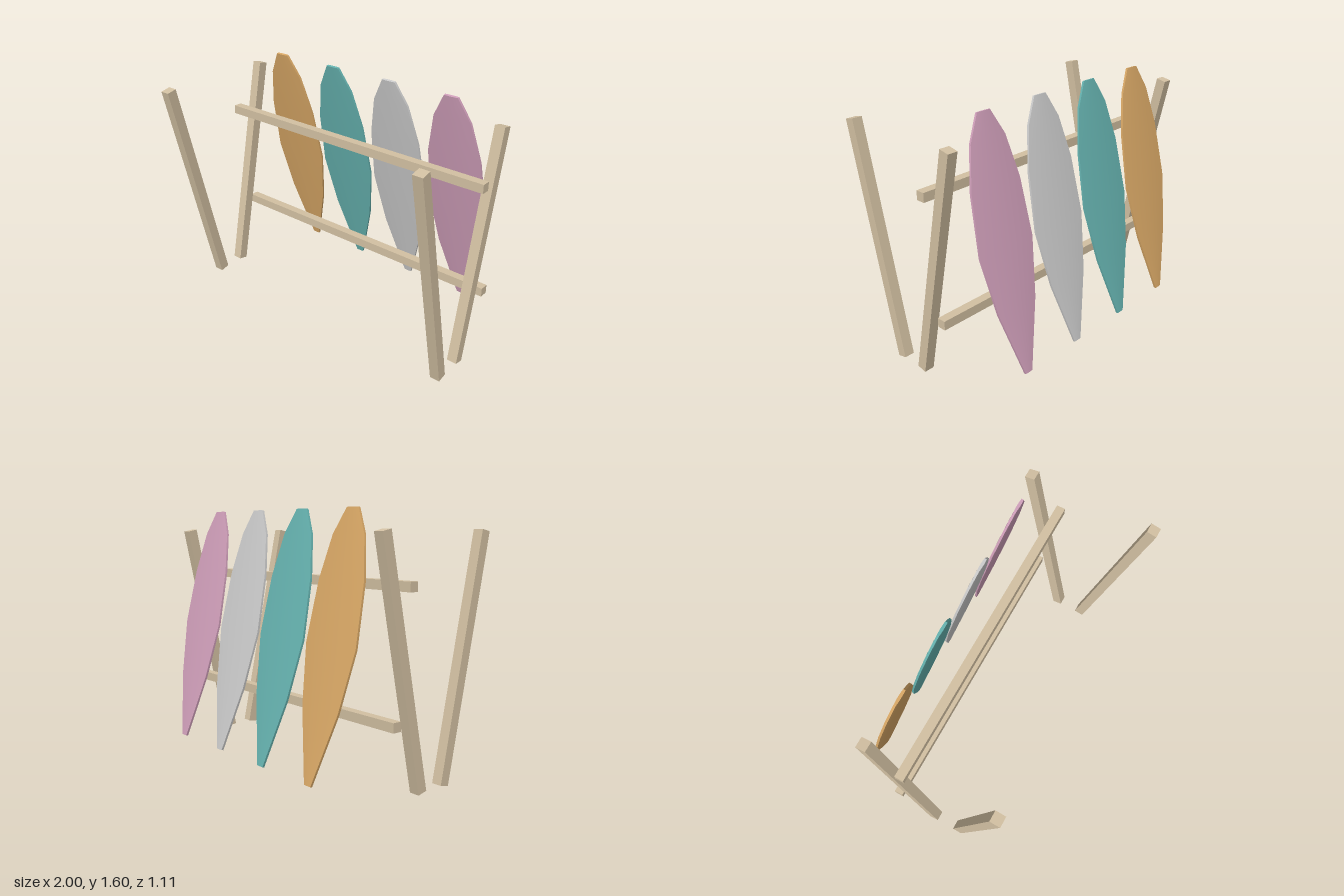
import * as THREE from 'three';

const TILT = 0.21;
const wood = new THREE.MeshStandardMaterial({ color: 0xd2c0a2, flatShading: true });

function beam(name, size, position, tilt = 0) {
  const mesh = new THREE.Mesh(new THREE.BoxGeometry(...size), wood);
  mesh.name = name;
  mesh.position.set(...position);
  mesh.rotation.x = tilt;
  return mesh;
}

// Board outline from tail to nose: [height, half width]
const OUTLINE = [[-0.772, 0.027], [-0.353, 0.148], [0.005, 0.204], [0.363, 0.183], [0.62, 0.127], [0.772, 0.047]];

// A box reshaped to the outline, with domed faces and a thin square rim
function boardGeometry() {
  const rows = OUTLINE.length - 1;
  const geometry = new THREE.BoxGeometry(2, 2, 2, 8, rows, 1);
  const p = geometry.attributes.position;
  for (let i = 0; i < p.count; i++) {
    const u = p.getX(i);
    const [y, w] = OUTLINE[Math.round((p.getY(i) + 1) / 2 * rows)];
    const dome = 0.01 * (w / 0.204) * (1 - u * u);
    p.setXYZ(i, u * w, y, Math.sign(p.getZ(i)) * (0.007 + dome));
  }
  geometry.computeVertexNormals();
  return geometry;
}

export function createModel() {
  const model = new THREE.Group();
  model.name = 'boardRack';

  // Leaning posts, a front and a rear one at each end
  for (const [side, x] of [['left', 0.96], ['right', -0.96]]) {
    model.add(beam(side + 'FrontPost', [0.065, 1.5, 0.065], [x, 0.742, 0.367], TILT));
    model.add(beam(side + 'RearPost', [0.065, 1.5, 0.065], [x, 0.742, -0.134], -TILT));
  }

  // Cross rails
  model.add(beam('upperRail', [2, 0.057, 0.057], [0, 1.176, -0.088]));
  model.add(beam('lowerRail', [2, 0.057, 0.057], [0, 0.428, -0.2]));

  // Row of leaning boards
  const geometry = boardGeometry();
  [0xd9a866, 0x66b3b0, 0xcccccc, 0xd09fba].forEach((color, i) => {
    const board = new THREE.Mesh(geometry, new THREE.MeshStandardMaterial({ color }));
    board.name = 'board' + (i + 1);
    board.position.set(-0.668 + i * 0.4415, 0.845, -0.384);
    board.rotation.x = TILT;
    model.add(board);
  });

  return model;
}
